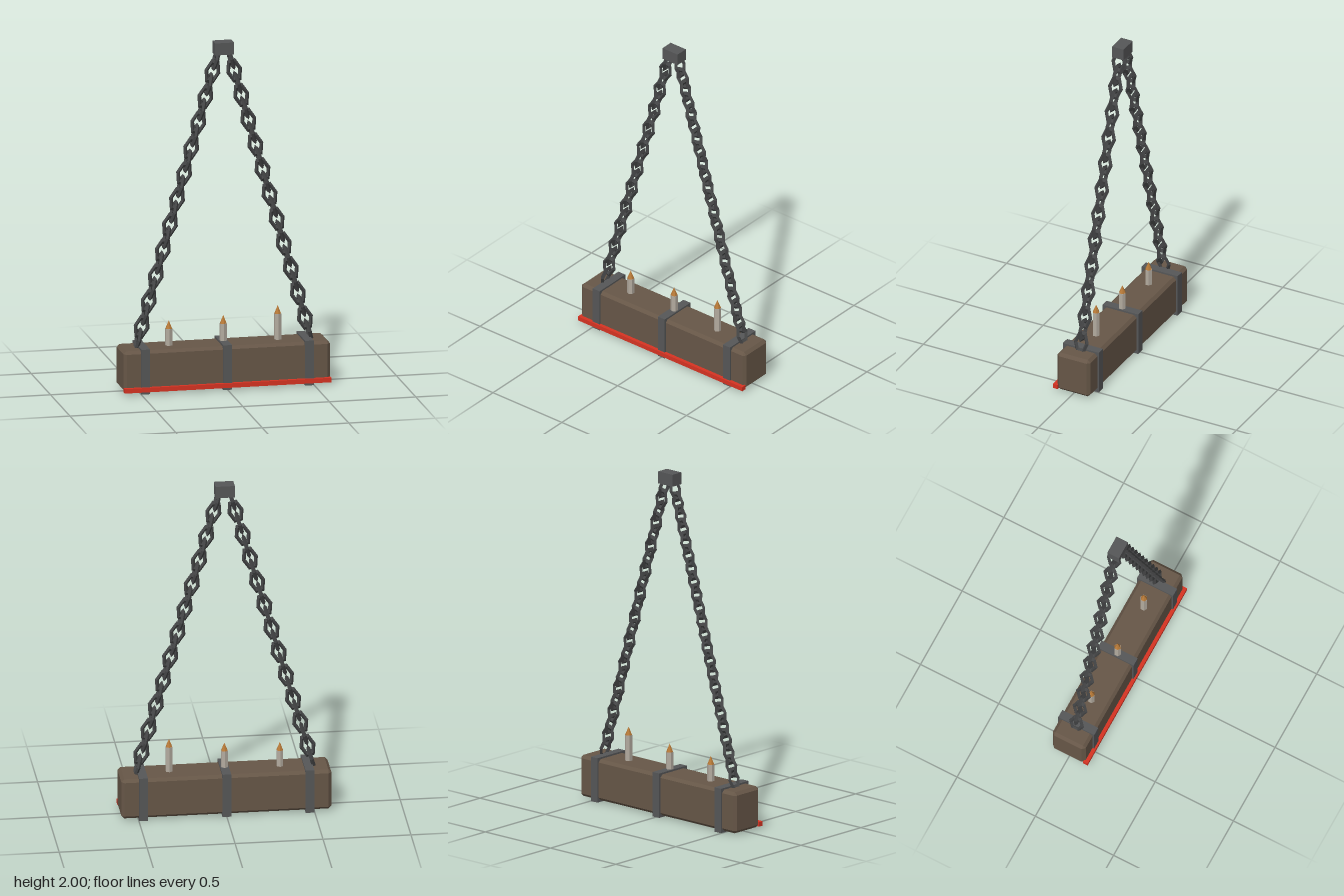
import * as THREE from 'three';
import { ConvexGeometry } from 'three/addons/geometries/ConvexGeometry.js';

function mat(name, color) {
  const m = new THREE.MeshStandardMaterial({ color, flatShading: true });
  m.name = name;
  return m;
}

// Box with every edge cut at 45 degrees
function chamferBox(w, h, d, c) {
  const pts = [];
  const [x, y, z] = [w / 2, h / 2, d / 2];
  for (const i of [-1, 1]) for (const j of [-1, 1]) for (const k of [-1, 1]) {
    pts.push(
      new THREE.Vector3(i * x, j * (y - c), k * (z - c)),
      new THREE.Vector3(i * (x - c), j * y, k * (z - c)),
      new THREE.Vector3(i * (x - c), j * (y - c), k * z));
  }
  return new ConvexGeometry(pts);
}

export function createModel() {
  const model = new THREE.Group();
  model.name = 'hangingCandleBeam';
  const wood = mat('brown wood', 0x665647);
  const iron = mat('grey iron', 0x555657);
  const chainIron = mat('dark chain iron', 0x444546);
  const wax = mat('pale wax', 0xb2aa9e);
  const fire = mat('amber flame', 0xb87a38);
  const red = mat('red trim', 0xd63322);
  const zc = -0.006; // centre line of everything but the trim

  function add(name, geometry, material, x, y, z, parent = model) {
    const mesh = new THREE.Mesh(geometry, material);
    mesh.name = name;
    mesh.position.set(x, y, z);
    parent.add(mesh);
    return mesh;
  }

  // Beam, front trim and ceiling bracket
  add('beam', chamferBox(1.194, 0.24, 0.21, 0.017), wood, 0, 0.13, zc);
  add('frontTrim', new THREE.BoxGeometry(1.194, 0.026, 0.03), red, 0, 0.027, 0.105);
  add('topBracket', new THREE.BoxGeometry(0.11, 0.07, 0.074), iron, 0, 1.965, zc);

  // Iron bands wrapped round the beam
  const band = new THREE.BoxGeometry(0.05, 0.26, 0.23);
  for (const x of [-0.473, 0, 0.473]) add('ironBand', band, iron, x, 0.13, zc);

  // Candles of different heights, each with a pointed flame
  for (const [x, top] of [[-0.315, 0.347], [0, 0.36], [0.315, 0.4]]) {
    const h = top - 0.24;
    add('candle', new THREE.CylinderGeometry(0.021, 0.021, h, 6), wax, x, 0.24 + h / 2, zc);
    add('flame', new THREE.ConeGeometry(0.02, 0.048, 6), fire, x, top + 0.024, zc);
  }

  // Two slanted chains, with every other link turned a quarter
  const link = new THREE.TorusGeometry(0.036, 0.0115, 4, 6);
  link.scale(1, 1.65, 1);
  for (const side of [-1, 1]) {
    const chain = new THREE.Group();
    chain.name = side > 0 ? 'leftChain' : 'rightChain';
    chain.position.set(side * 0.0425, 1.902, zc);
    chain.rotation.z = side * Math.atan2(0.45, 1.609);
    for (let i = 0; i < 23; i++) {
      const l = add('chainLink', link, chainIron, 0, -0.07595 * i, 0, chain);
      if (i % 2 === 0) l.rotation.y = Math.PI / 2;
    }
    model.add(chain);
  }
  return model;
}
